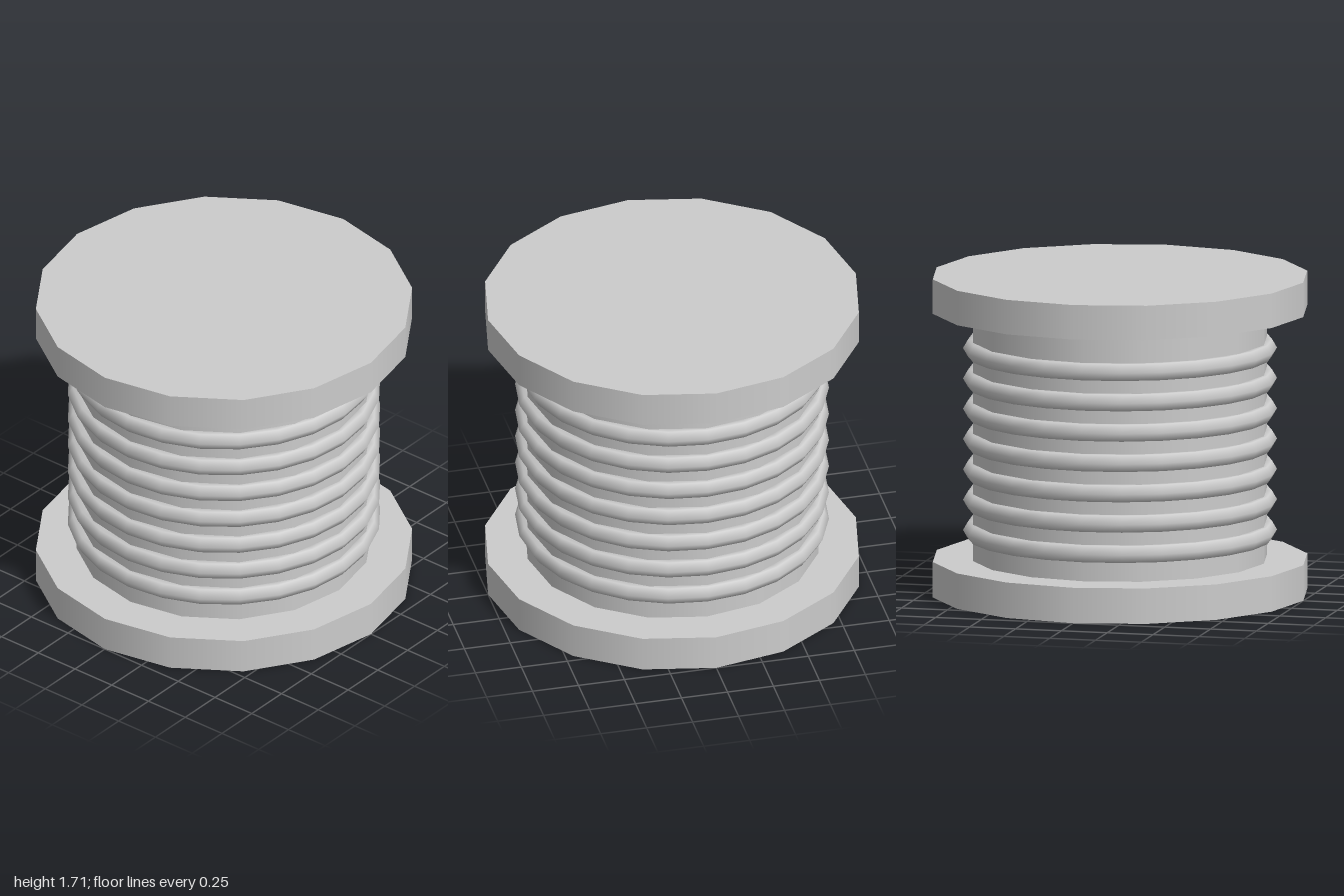
import * as THREE from 'three';

export function createModel() {
  const model = new THREE.Group();
  model.name = 'spool';
  const grey = new THREE.MeshStandardMaterial({ color: 0xcccccc });
  grey.name = 'light grey';

  // 16-sided drum between two heights
  const drum = (name, radius, bottom, top) => {
    const mesh = new THREE.Mesh(new THREE.CylinderGeometry(radius, radius, top - bottom, 16), grey);
    mesh.name = name;
    mesh.position.y = (bottom + top) / 2;
    model.add(mesh);
  };
  drum('bottomFlange', 1, 0, 0.19);
  drum('core', 0.785, 0.19, 1.52);
  drum('topFlange', 1, 1.52, 1.705);

  // Seven evenly spaced coils with a six-sided section
  const coils = new THREE.Group();
  coils.name = 'coils';
  const coilGeometry = new THREE.TorusGeometry(0.778, 0.052, 6, 24).rotateX(Math.PI / 2);
  for (let i = 0; i < 7; i++) {
    const coil = new THREE.Mesh(coilGeometry, grey);
    coil.name = `coil${i + 1}`;
    coil.position.y = 0.34 + i * 0.1625;
    coils.add(coil);
  }
  model.add(coils);
  return model;
}
